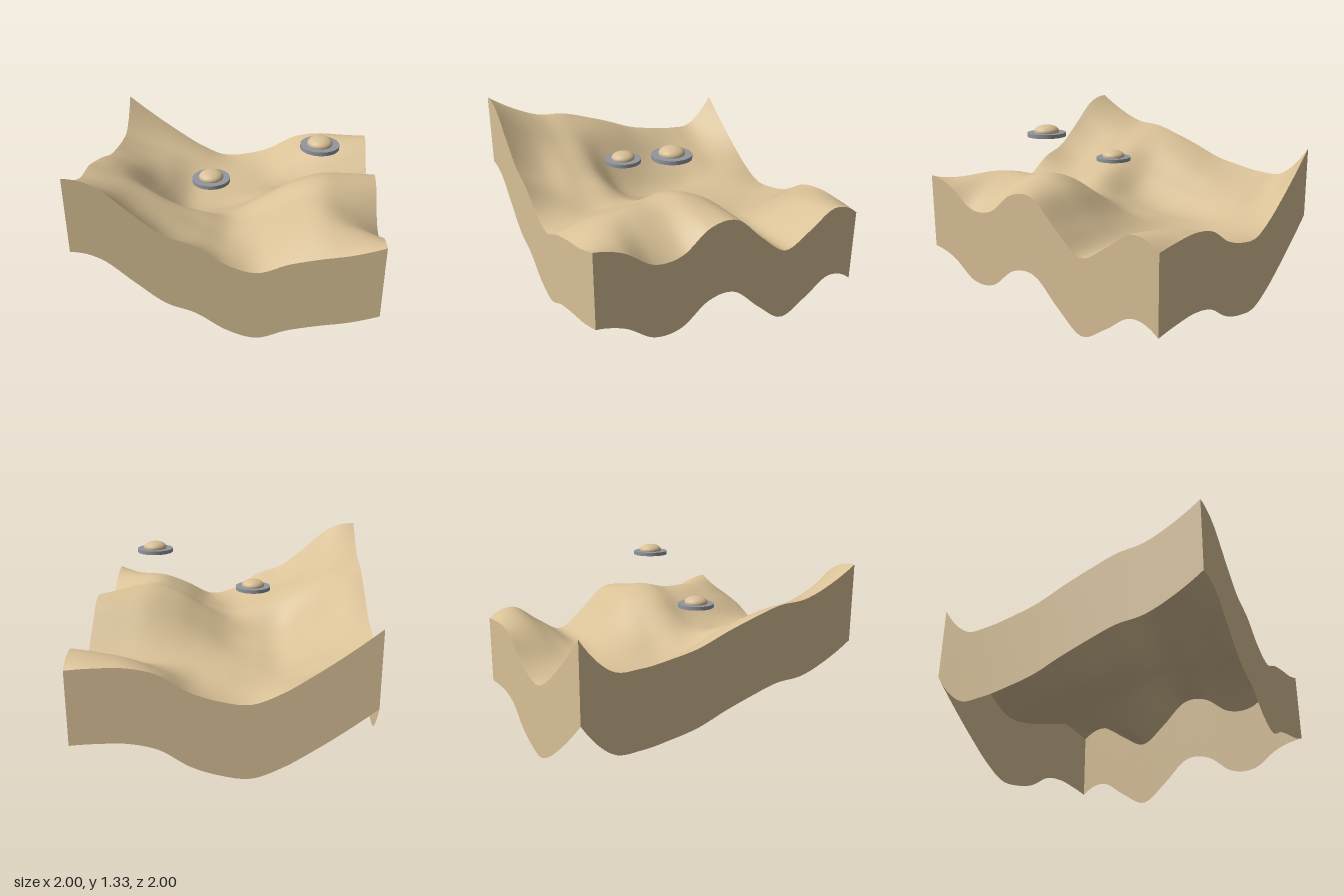
import * as THREE from 'three';

const SEG = 70;        // terrain subdivisions per side
const THICK = 0.53;    // height of the skirt walls

// Control heights: rows run z = -1..1, columns run x = -1..1
const HEIGHTS = [
  [1.055, 0.895, 0.75, 0.62, 0.535, 0.55, 0.61, 0.725, 0.765, 0.76, 0.74],
  [0.84, 0.74, 0.665, 0.60, 0.55, 0.54, 0.57, 0.67, 0.75, 0.79, 0.815],
  [0.825, 0.735, 0.66, 0.575, 0.54, 0.54, 0.55, 0.605, 0.66, 0.68, 0.69],
  [0.855, 0.765, 0.66, 0.55, 0.54, 0.55, 0.565, 0.58, 0.585, 0.585, 0.59],
  [0.90, 0.825, 0.68, 0.555, 0.55, 0.58, 0.63, 0.68, 0.715, 0.725, 0.735],
  [0.98, 0.91, 0.735, 0.585, 0.575, 0.61, 0.715, 0.83, 0.905, 0.915, 0.91],
  [1.05, 0.985, 0.815, 0.665, 0.645, 0.69, 0.80, 0.92, 0.98, 0.955, 0.90],
  [1.11, 1.04, 0.94, 0.835, 0.77, 0.715, 0.765, 0.885, 0.945, 0.88, 0.755],
  [1.13, 1.07, 0.965, 0.87, 0.775, 0.705, 0.75, 0.87, 0.945, 0.88, 0.745],
  [1.21, 1.15, 1.00, 0.87, 0.795, 0.73, 0.73, 0.845, 0.915, 0.915, 0.875],
  [1.33, 1.285, 1.12, 0.96, 0.885, 0.755, 0.70, 0.775, 0.825, 0.865, 0.93],
];

// Smooth interpolation through evenly spaced values, t from 0 to 1
function spline(v, t) {
  const n = v.length - 1;
  const i = Math.min(Math.floor(t * n), n - 1);
  const f = t * n - i;
  const b = v[i], c = v[i + 1];
  const a = i > 0 ? v[i - 1] : 3 * (b - c) + v[i + 2];
  const d = i + 2 <= n ? v[i + 2] : 3 * (c - b) + v[i - 1];
  return b + 0.5 * f * (c - a + f * (2 * a - 5 * b + 4 * c - d + f * (3 * (b - c) + d - a)));
}

function heightAt(x, z) {
  return spline(HEIGHTS.map((row) => spline(row, (x + 1) / 2)), (z + 1) / 2);
}

// Rolling top surface
function terrainGeometry() {
  const geo = new THREE.PlaneGeometry(2, 2, SEG, SEG).rotateX(-Math.PI / 2);
  const p = geo.attributes.position;
  for (let i = 0; i < p.count; i++) p.setY(i, heightAt(p.getX(i), p.getZ(i)));
  geo.computeVertexNormals();
  return geo;
}

// Upright wall below one edge, running from corner a to corner b
function wallGeometry(a, b) {
  const geo = new THREE.PlaneGeometry(2, 1, SEG, 1);
  const p = geo.attributes.position;
  for (let i = 0; i < p.count; i++) {
    const t = (p.getX(i) + 1) / 2;
    const x = THREE.MathUtils.lerp(a[0], b[0], t);
    const z = THREE.MathUtils.lerp(a[1], b[1], t);
    p.setXYZ(i, x, heightAt(x, z) - (p.getY(i) > 0 ? 0 : THICK), z);
  }
  geo.computeVertexNormals();
  return geo;
}

export function createModel() {
  const model = new THREE.Group();
  const sand = new THREE.MeshStandardMaterial({ color: 0xd8c096, side: THREE.DoubleSide });
  sand.name = 'sand';
  const grey = new THREE.MeshStandardMaterial({ color: 0x92979d });
  grey.name = 'grey';

  const add = (parent, name, geo, mat) => {
    const mesh = new THREE.Mesh(geo, mat);
    mesh.name = name;
    parent.add(mesh);
    return mesh;
  };

  // Open-bottomed block of ground
  const ground = new THREE.Group();
  ground.name = 'ground';
  model.add(ground);
  add(ground, 'terrain', terrainGeometry(), sand);
  const corners = [[-1, 1], [1, 1], [1, -1], [-1, -1]];
  ['frontWall', 'leftWall', 'backWall', 'rightWall'].forEach((name, i) => {
    add(ground, name, wallGeometry(corners[i], corners[(i + 1) % 4]), sand);
  });

  // Hovering discs, each with a flattened dome through the middle
  for (const [x, y, z] of [[-0.17, 0.96, 0.25], [0.58, 1.249, 0.25]]) {
    const saucer = new THREE.Group();
    saucer.name = 'saucer';
    saucer.position.set(x, y, z);
    add(saucer, 'disc', new THREE.CylinderGeometry(0.133, 0.133, 0.027, 40), grey);
    const dome = add(saucer, 'dome', new THREE.SphereGeometry(0.086, 32, 20), sand);
    dome.scale.y = 0.53;
    dome.position.y = 0.021;
    model.add(saucer);
  }
  return model;
}
